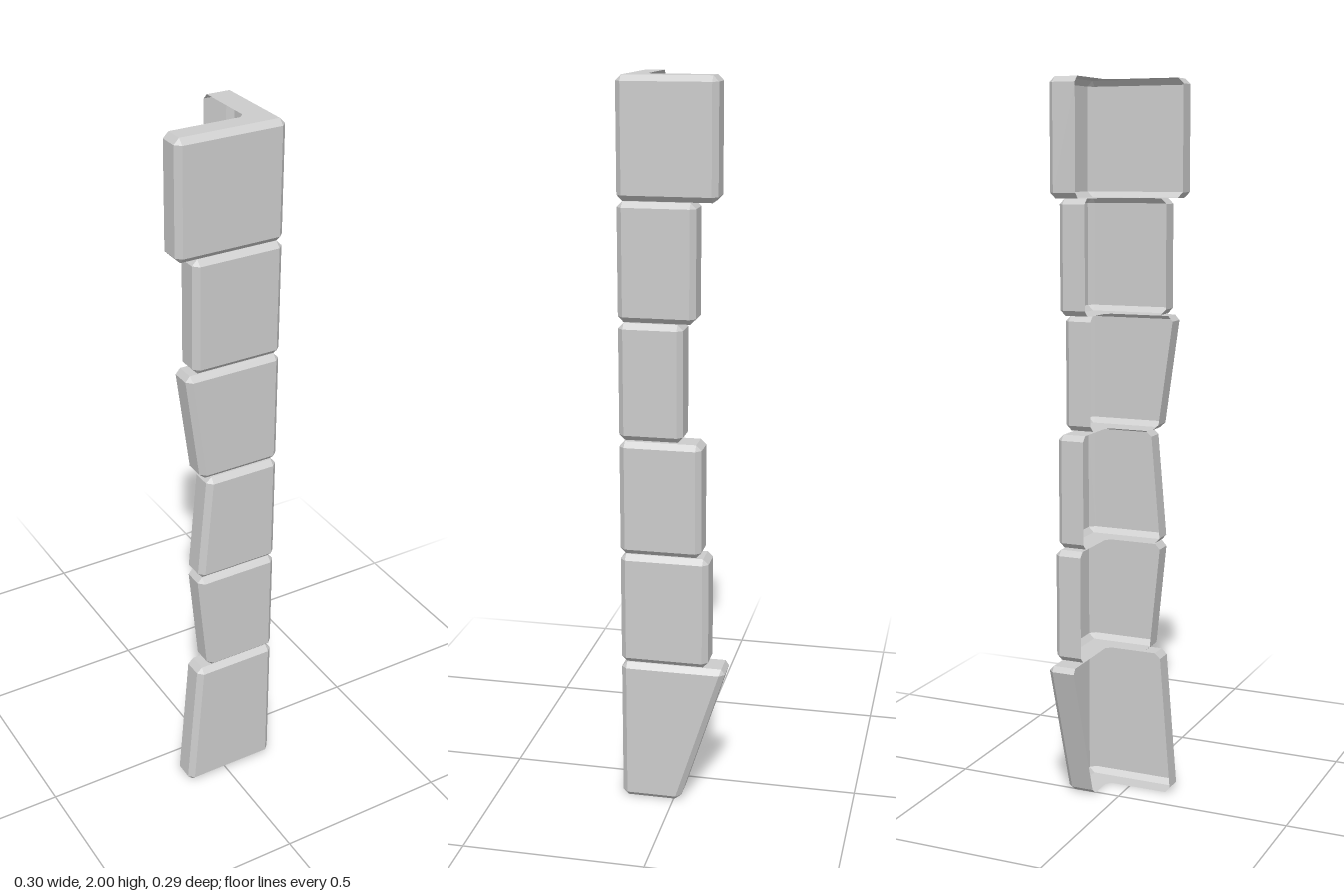
import * as THREE from 'three';

const X = 0.151, Z = 0.146;     // outer faces of the corner
const XI = 0.071, ZI = 0.08;    // open inner edges of the two arms
const C = 0.015;                // outer chamfer
const B = 0.014;                // cut across the inner corner

// L-shaped outline at one height; inset pulls in the outer faces only
function outline(y, xEnd, zEnd, inset) {
  const c = C - inset;
  const x = X - inset, z = Z - inset, xe = xEnd + inset, ze = zEnd + inset;
  return [
    [xe, ZI], [xe, z - c], [xe + c, z], [x - c, z], [x, z - c],
    [x, ze + c], [x - c, ze], [XI, ze], [XI, ZI - B], [XI - B, ZI],
  ].map(([px, pz]) => new THREE.Vector3(px, y, pz));
}

// One hollow chamfered corner stone, open towards the inside of the corner;
// arm ends slope from bottom to top values
function cornerStone(y0, y1, xBottom, xTop, zBottom, zTop) {
  const rings = [[y0, C], [y0 + C, 0], [y1 - C, 0], [y1, C]].map(([y, inset]) => {
    const t = (y - y0) / (y1 - y0);
    return outline(y, THREE.MathUtils.lerp(xBottom, xTop, t), THREE.MathUtils.lerp(zBottom, zTop, t), inset);
  });
  const pos = [];
  const tri = (a, b, c) => {
    const area = b.clone().sub(a).cross(c.clone().sub(a)).length();
    if (area > 1e-9) for (const p of [a, b, c]) pos.push(p.x, p.y, p.z);
  };
  const n = rings[0].length;
  // outer walls, arm ends and chamfers
  for (let i = 0; i < 7; i++) {
    for (let r = 0; r < 3; r++) {
      const lo = rings[r], hi = rings[r + 1];
      tri(lo[i], lo[i + 1], hi[i + 1]);
      tri(lo[i], hi[i + 1], hi[i]);
    }
  }
  // bottom and top faces
  const centre = (y) => new THREE.Vector3(0.1, y, 0.105);
  for (let i = 0; i < n; i++) {
    const j = (i + 1) % n;
    tri(centre(y0), rings[0][j], rings[0][i]);
    tri(centre(y1), rings[3][i], rings[3][j]);
  }
  const geometry = new THREE.BufferGeometry();
  geometry.setAttribute('position', new THREE.Float32BufferAttribute(pos, 3));
  geometry.computeVertexNormals();
  return geometry;
}

export function createModel() {
  const group = new THREE.Group();
  group.name = 'cornerStones';
  const material = new THREE.MeshStandardMaterial({
    color: 0xcccccc, flatShading: true, side: THREE.DoubleSide,
  });

  // bottom y, top y, front arm end (bottom, top), side arm end (bottom, top)
  const stones = [
    [0.0, 0.412, -0.126, -0.092, -0.018, -0.15],
    [0.414, 0.731, -0.06, -0.092, -0.098, -0.098],
    [0.733, 1.05, -0.091, -0.063, -0.078, -0.078],
    [1.054, 1.371, -0.083, -0.127, -0.028, -0.028],
    [1.373, 1.686, -0.105, -0.105, -0.062, -0.062],
    [1.687, 2.0, -0.152, -0.152, -0.119, -0.119],
  ];
  stones.forEach((s, i) => {
    const mesh = new THREE.Mesh(cornerStone(...s), material);
    mesh.name = `cornerStone${i + 1}`;
    group.add(mesh);
  });
  return group;
}
